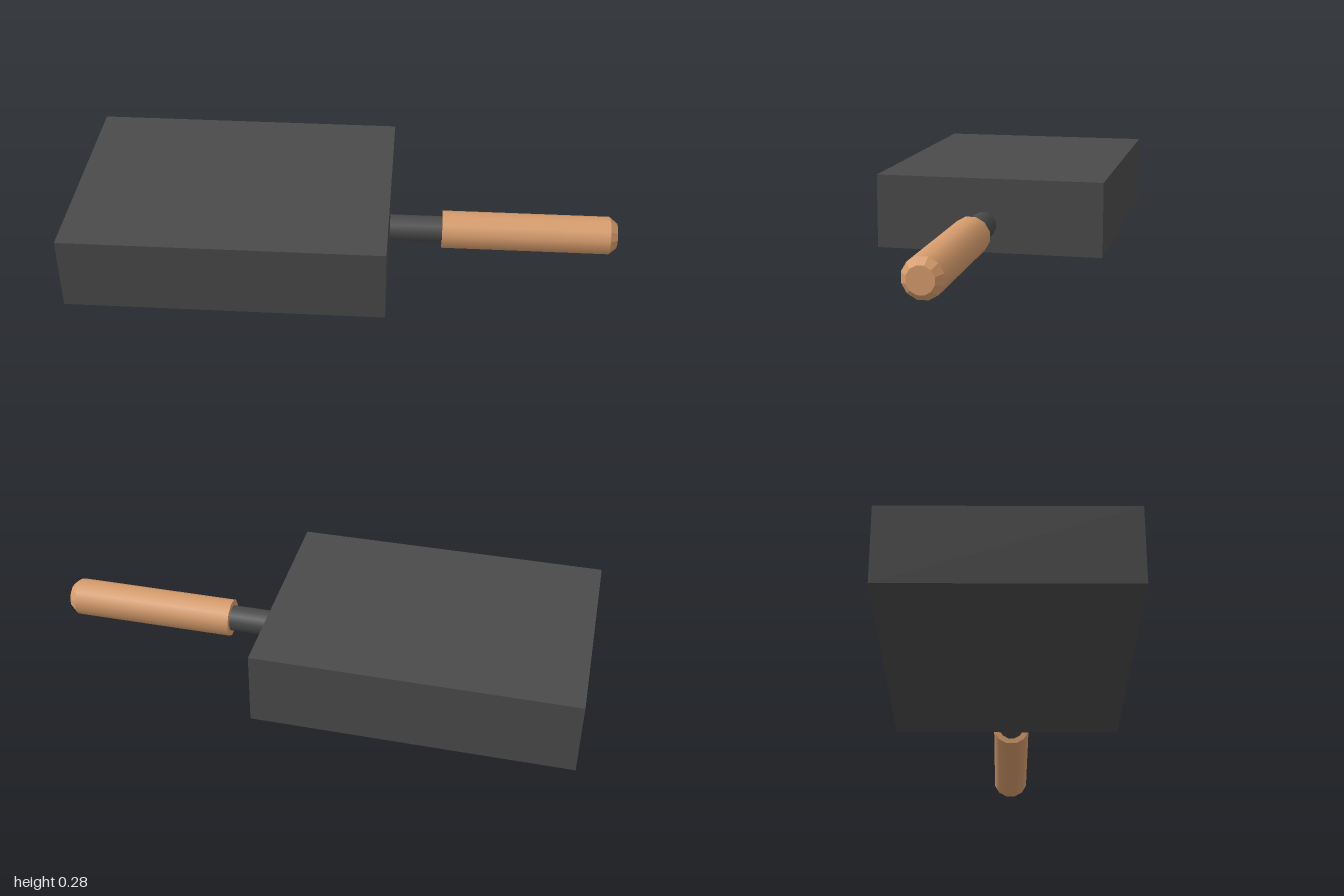
import * as THREE from 'three';

const SIDES = 12;
const AXIS_Y = 0.103, AXIS_Z = 0.018;

export function createModel() {
  const group = new THREE.Group();
  const iron = new THREE.MeshStandardMaterial({ color: 0x4a4a4a });
  iron.name = 'dark iron';
  const wood = new THREE.MeshStandardMaterial({ color: 0xd69c6c });
  wood.name = 'light wood';

  // Twelve-sided rod along x, with a flat side on top
  function rod(name, x0, x1, r0, r1, material, faceted = false) {
    let geo = new THREE.CylinderGeometry(r1, r0, x1 - x0, SIDES, 1, false, Math.PI / SIDES);
    if (faceted) {
      geo = geo.toNonIndexed();
      geo.computeVertexNormals();
    }
    geo.rotateZ(-Math.PI / 2);
    const mesh = new THREE.Mesh(geo, material);
    mesh.name = name;
    mesh.position.set((x0 + x1) / 2, AXIS_Y, AXIS_Z);
    group.add(mesh);
  }

  // Solid block
  const block = new THREE.Mesh(new THREE.BoxGeometry(1.157, 0.275, 0.844), iron);
  block.name = 'block';
  block.position.set(-0.4215, 0.1375, 0);
  group.add(block);

  // Metal neck, wooden grip and its bevelled end
  rod('neck', 0.15, 0.36, 0.049, 0.049, iron);
  rod('grip', 0.352, 0.972, 0.071, 0.071, wood);
  rod('gripEnd', 0.972, 1, 0.071, 0.048, wood, true);

  return group;
}
